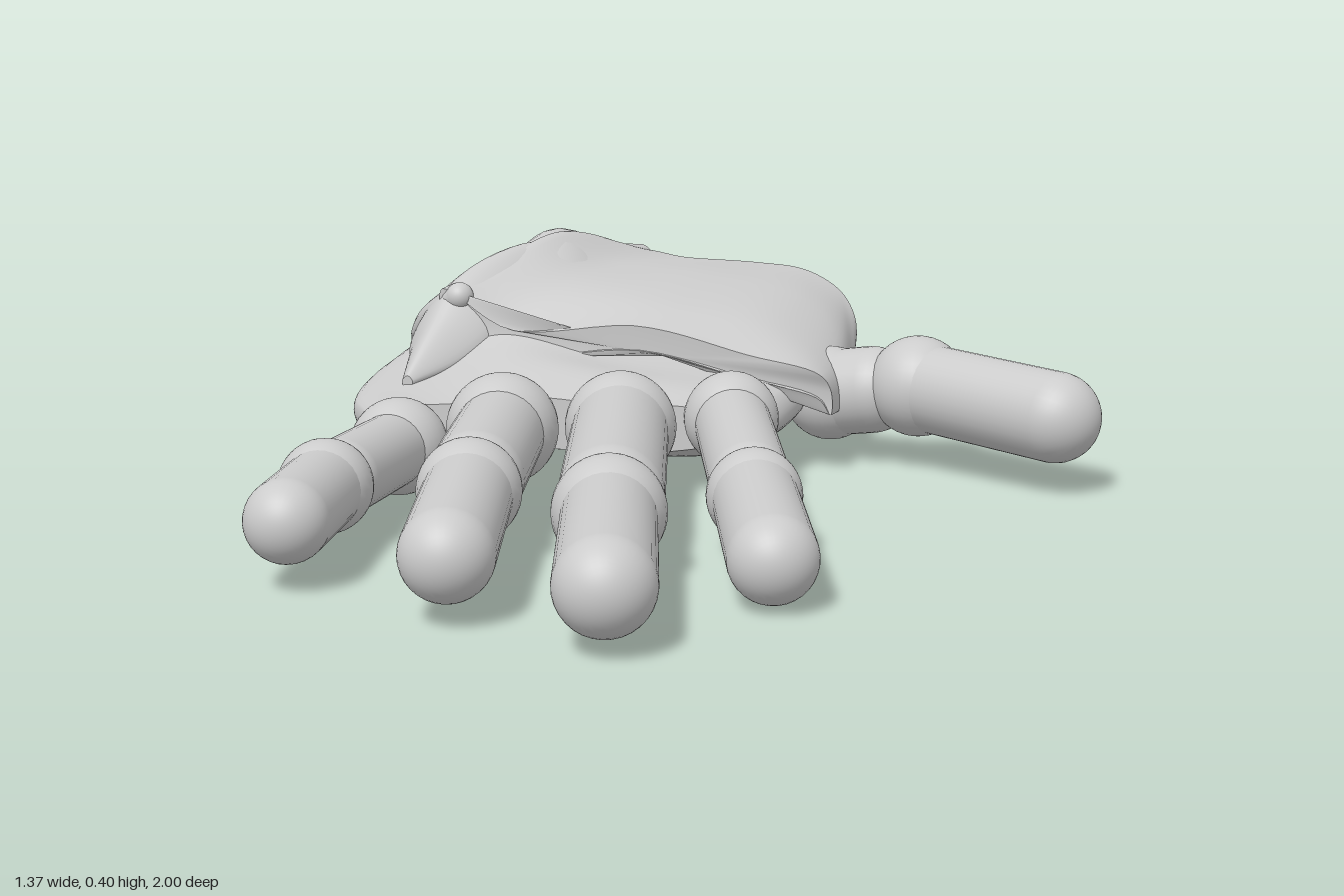
import * as THREE from 'three';

const grey = new THREE.MeshStandardMaterial({ color: 0xcccccc, side: THREE.DoubleSide });
const V = (p) => new THREE.Vector3(...p);

function add(parent, geometry, name) {
  const mesh = new THREE.Mesh(geometry, grey);
  mesh.name = name;
  parent.add(mesh);
  return mesh;
}

// Smooth capped skin over closed loops: each loop runs left to right on top,
// then back underneath; loops go from front to back.
function loft(sections, around = 80, along = 48) {
  const loops = sections.map((s) => new THREE.CatmullRomCurve3(s.map(V), true, 'centripetal'));
  const rails = [];
  for (let j = 0; j < around; j++) {
    const points = loops.map((l) => l.getPoint(j / around));
    rails.push(new THREE.CatmullRomCurve3(points, false, 'centripetal').getPoints(along));
  }
  const pos = [], index = [];
  for (let i = 0; i <= along; i++) {
    for (let j = 0; j < around; j++) pos.push(...rails[j][i].toArray());
  }
  for (let i = 0; i < along; i++) {
    for (let j = 0; j < around; j++) {
      const a = i * around + j, b = i * around + (j + 1) % around;
      index.push(a, b, a + around, b, b + around, a + around);
    }
  }
  for (const end of [0, along]) {
    const start = pos.length / 3, centre = new THREE.Vector3();
    for (let j = 0; j < around; j++) {
      pos.push(...rails[j][end].toArray());
      centre.addScaledVector(rails[j][end], 1 / around);
    }
    pos.push(...centre.toArray());
    for (let j = 0; j < around; j++) {
      const a = start + j, b = start + (j + 1) % around, c = start + around;
      index.push(c, ...(end === 0 ? [b, a] : [a, b]));
    }
  }
  const g = new THREE.BufferGeometry();
  g.setAttribute('position', new THREE.Float32BufferAttribute(pos, 3));
  g.setIndex(index);
  g.computeVertexNormals();
  return g;
}

// Round-ended rod between two centres
function rod(parent, from, to, radius, name) {
  const a = V(from), b = V(to), d = b.clone().sub(a);
  const mesh = add(parent, new THREE.CapsuleGeometry(radius, d.length(), 12, 32), name);
  mesh.position.copy(a).add(b).multiplyScalar(0.5);
  mesh.quaternion.setFromUnitVectors(new THREE.Vector3(0, 1, 0), d.normalize());
}

function ball(parent, at, radius, name) {
  add(parent, new THREE.SphereGeometry(radius, 32, 20), name).position.set(...at);
}

// Knuckle, inner segment stopping short of the middle joint, and fingertip
function finger(parent, { name, knuckle, joint, tip, radii }) {
  const group = new THREE.Group();
  group.name = name;
  parent.add(group);
  const [rKnuckle, rInner, rJoint, rTip] = radii;
  const k = V(knuckle), j = V(joint);
  const stop = j.clone().lerp(k, rJoint / j.distanceTo(k));
  ball(group, knuckle, rKnuckle, 'knuckle');
  rod(group, knuckle, stop.toArray(), rInner, 'innerSegment');
  ball(group, joint, rJoint, 'middleJoint');
  rod(group, joint, tip, rTip, 'fingertip');
}

// Palm loop from its left and right corners, ridge, underside, edge and right shoulder heights
function palmLoop([xl, zl], [xr, zr], [rx, ry], low, edge, shoulder) {
  const w = xr - xl;
  const at = (x, y) => [x, y, zl + (zr - zl) * (x - xl) / w];
  return [
    at(xl, edge), at((xl + rx) / 2, (edge + ry) / 2), at(rx, ry),
    at(rx * 0.6 + xr * 0.4, shoulder), at(xr - 0.02, edge + 0.01), at(xr, edge - 0.04),
    at(xr - w * 0.12, low), at(xl + w * 0.5, low), at(xl + w * 0.12, low + 0.01),
    at(xl, edge - 0.04),
  ];
}

// Thin sheet loop from a row of top points
function sheetLoop(row, thickness) {
  return [...row, ...row.slice().reverse().map(([x, y, z]) => [x, y - thickness, z])];
}

export function createModel() {
  const hand = new THREE.Group();
  hand.name = 'armouredHand';

  // Palm swelling to a mound and thinning to the wrist
  add(hand, loft([
    palmLoop([-0.58, 0.05], [0.03, -0.02], [-0.28, 0.17], 0.08, 0.14, 0.16),
    palmLoop([-0.64, -0.06], [0.10, -0.10], [-0.32, 0.20], 0.06, 0.14, 0.19),
    palmLoop([-0.67, -0.22], [0.13, -0.22], [-0.42, 0.24], 0.045, 0.15, 0.20),
    palmLoop([-0.675, -0.48], [0.12, -0.48], [-0.40, 0.40], 0.05, 0.16, 0.25),
    palmLoop([-0.68, -0.70], [0.04, -0.72], [-0.38, 0.345], 0.055, 0.16, 0.25),
    palmLoop([-0.68, -0.85], [-0.12, -0.93], [-0.32, 0.24], 0.065, 0.16, 0.20),
    palmLoop([-0.66, -0.90], [-0.19, -0.99], [-0.30, 0.19], 0.08, 0.15, 0.17),
    palmLoop([-0.63, -0.92], [-0.22, -1.0], [-0.30, 0.165], 0.11, 0.145, 0.15),
  ]), 'palm');

  // Plate folded over the back of the hand, dropping on the thumb side
  add(hand, loft([
    [[-0.53, 0.32, -0.22], [-0.40, 0.25, -0.21], [-0.15, 0.265, -0.21],
      [0.05, 0.22, -0.21], [0.18, 0.19, -0.21], [0.20, 0.16, -0.22]],
    [[-0.47, 0.35, -0.32], [-0.34, 0.315, -0.32], [-0.12, 0.295, -0.32],
      [0.06, 0.26, -0.32], [0.18, 0.19, -0.32], [0.20, 0.15, -0.32]],
    [[-0.38, 0.40, -0.48], [-0.28, 0.34, -0.50], [-0.10, 0.32, -0.52],
      [0.08, 0.285, -0.52], [0.17, 0.22, -0.50], [0.19, 0.14, -0.48]],
    [[-0.27, 0.34, -0.68], [-0.18, 0.33, -0.69], [-0.05, 0.315, -0.76],
      [0.05, 0.305, -0.75], [0.13, 0.27, -0.71], [0.17, 0.22, -0.66]],
  ].map((row) => sheetLoop(row, 0.045))), 'backPlate');

  // Pointed ridge from the front of the palm up beside the plate edge
  add(hand, loft([
    [[-0.56, 0.17, -0.08], [-0.55, 0.18, -0.08], [-0.54, 0.17, -0.08], [-0.55, 0.15, -0.08]],
    [[-0.58, 0.19, -0.17], [-0.53, 0.26, -0.17], [-0.47, 0.20, -0.17], [-0.53, 0.15, -0.17]],
    [[-0.60, 0.21, -0.26], [-0.51, 0.33, -0.25], [-0.42, 0.25, -0.25], [-0.53, 0.18, -0.26]],
    [[-0.50, 0.30, -0.40], [-0.43, 0.385, -0.40], [-0.37, 0.32, -0.40], [-0.45, 0.25, -0.40]],
    [[-0.29, 0.34, -0.68], [-0.27, 0.355, -0.68], [-0.25, 0.34, -0.68], [-0.27, 0.31, -0.68]],
  ], 32, 28), 'edgeRidge');

  // Rib running from the plate corner to the outer edge
  const ribPath = new THREE.CatmullRomCurve3(
    [[-0.50, 0.305, -0.23], [-0.565, 0.26, -0.27], [-0.61, 0.21, -0.34], [-0.625, 0.18, -0.42]].map(V));
  add(hand, new THREE.TubeGeometry(ribPath, 24, 0.026, 16), 'sideRib');
  ball(hand, [-0.50, 0.305, -0.23], 0.026, 'sideRibCorner');
  ball(hand, [-0.625, 0.18, -0.42], 0.026, 'sideRibEnd');

  // Wrist stub
  rod(hand, [-0.10, 0.12, -0.70], [-0.115, 0.105, -0.91], 0.052, 'wristStub');

  // Fingers and thumb; radii are knuckle, inner segment, joint, tip
  const fingers = [
    { name: 'littleFinger', knuckle: [-0.50, 0.09, 0.10], joint: [-0.48, 0.105, 0.48],
      tip: [-0.44, 0.11, 0.725], radii: [0.085, 0.064, 0.076, 0.065] },
    { name: 'ringFinger', knuckle: [-0.32, 0.125, 0.075], joint: [-0.23, 0.12, 0.515],
      tip: [-0.153, 0.105, 0.838], radii: [0.097, 0.077, 0.082, 0.07] },
    { name: 'middleFinger', knuckle: [-0.12, 0.13, 0.035], joint: [0.005, 0.11, 0.56],
      tip: [0.10, 0.10, 0.925], radii: [0.096, 0.083, 0.088, 0.073] },
    { name: 'indexFinger', knuckle: [0.06, 0.14, -0.03], joint: [0.185, 0.10, 0.365],
      tip: [0.275, 0.08, 0.66], radii: [0.082, 0.066, 0.076, 0.068] },
    { name: 'thumb', knuckle: [0.17, 0.125, -0.385], joint: [0.34, 0.153, -0.34],
      tip: [0.602, 0.138, -0.18], radii: [0.087, 0.08, 0.092, 0.08] },
  ];
  fingers.forEach((f) => finger(hand, f));
  return hand;
}
